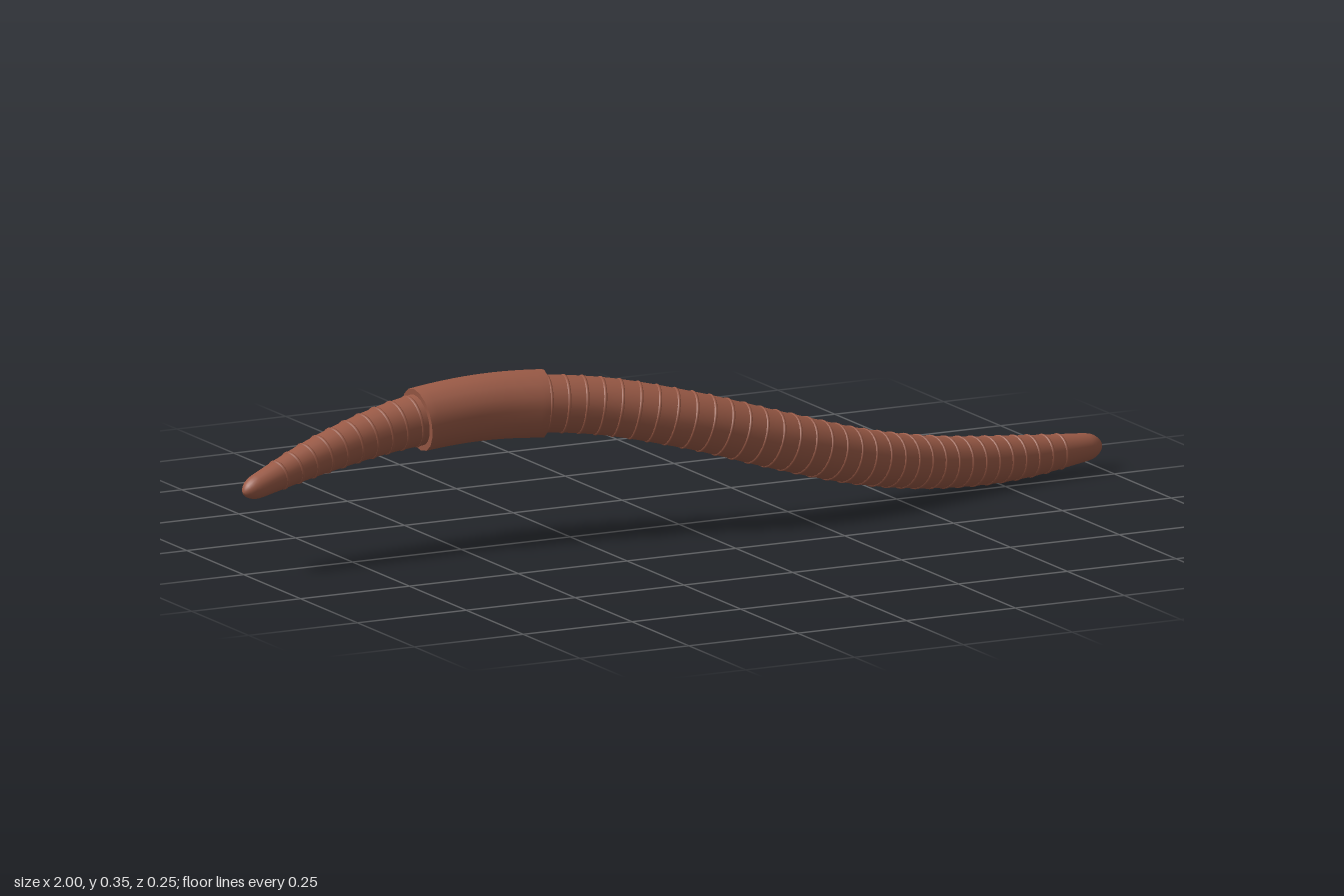
import * as THREE from 'three';

const SIDES = 24;
const V = (x, y, z) => new THREE.Vector3(x, y, z);

// Centreline and thickness, sampled every 0.2 along x
const ys = [0.171, 0.224, 0.263, 0.281, 0.27, 0.228, 0.167, 0.108, 0.067, 0.048, 0.05];
const zs = [0, -0.038, -0.059, -0.046, -0.004, 0.046, 0.063, 0.042, -0.003, -0.043, -0.06];
const rs = [0.022, 0.04, 0.052, 0.058, 0.059, 0.059, 0.059, 0.057, 0.053, 0.045, 0.025];
const spline = (points) => new THREE.CatmullRomCurve3(points, false, 'catmullrom');
const path = spline(ys.map((y, i) => V(-1 + i * 0.2, y, zs[i])));
const girth = spline(rs.map((r, i) => V(i, r, 0)));
const param = (x) => THREE.MathUtils.clamp((x + 1) / 2, 0, 1);
const centre = (x) => path.getPoint(param(x));
const tangent = (x) => path.getTangent(param(x));

// Body radius with domed ends
function radius(x) {
  const d = Math.min(1, (1 - Math.abs(x)) / 0.035);
  return girth.getPoint(param(x)).y * Math.sqrt(Math.max(0, 1 - (1 - d) ** 2));
}

// Skin round cross-sections, each given as [x, radius]
function sweep(sections, sides) {
  const pos = [], index = [];
  sections.forEach(([x, r], i) => {
    const c = centre(x), t = tangent(x);
    const side = V(0, 1, 0).cross(t).normalize();
    const up = t.clone().cross(side);
    for (let j = 0; j < sides; j++) {
      const a = (j / sides) * Math.PI * 2;
      const p = c.clone().addScaledVector(side, r * Math.cos(a)).addScaledVector(up, r * Math.sin(a));
      pos.push(p.x, p.y, p.z);
      if (i === 0) continue;
      const k = (j + 1) % sides, a0 = (i - 1) * sides, b0 = i * sides;
      index.push(a0 + j, a0 + k, b0 + j, a0 + k, b0 + k, b0 + j);
    }
  });
  const g = new THREE.BufferGeometry();
  g.setAttribute('position', new THREE.Float32BufferAttribute(pos, 3));
  g.setIndex(index);
  g.computeVertexNormals();
  return g;
}

export function createModel() {
  const worm = new THREE.Group();
  worm.name = 'worm';
  const skin = new THREE.MeshStandardMaterial({ color: 0x9a5a46 });
  skin.name = 'skin';

  const add = (name, geometry, parent = worm) => {
    const m = new THREE.Mesh(geometry, skin);
    m.name = name;
    parent.add(m);
    return m;
  };

  // Body, with sections packed toward the two rounded tips
  const ends = [0, 0.001, 0.004, 0.009, 0.016, 0.025, 0.035];
  const xs = ends.map((e) => -1 + e);
  for (let i = 1; i < 80; i++) xs.push(-0.965 + (1.93 * i) / 80);
  xs.push(...ends.map((e) => 1 - e).reverse());
  add('body', sweep(xs.map((x) => [x, radius(x)]), SIDES));

  // Smooth saddle band, with separate flat end faces for crisp edges
  const x0 = -0.57, x1 = -0.3;
  const bandRadius = (x) => THREE.MathUtils.mapLinear(x, x0, x1, 0.066, 0.071);
  const band = [];
  for (let i = 0; i <= 14; i++) {
    const x = x0 + ((x1 - x0) * i) / 14;
    band.push([x, bandRadius(x)]);
  }
  add('saddleBand', sweep(band, 16));
  add('saddleBandTailFace', sweep([[x0, 0.03], [x0, bandRadius(x0)]], 16));
  add('saddleBandHeadFace', sweep([[x1, bandRadius(x1)], [x1, 0.03]], 16));

  // Low rounded ridges marking the segments
  const rings = new THREE.Group();
  rings.name = 'segmentRings';
  worm.add(rings);
  for (let i = 0; i <= 50; i++) {
    const x = -0.91 + i * 0.0362;
    if (x > x0 && x < x1) continue;
    const ring = add('segmentRing', new THREE.TorusGeometry(radius(x) - 0.002, 0.004, 8, 32), rings);
    ring.position.copy(centre(x));
    ring.quaternion.setFromUnitVectors(V(0, 0, 1), tangent(x));
  }
  return worm;
}
